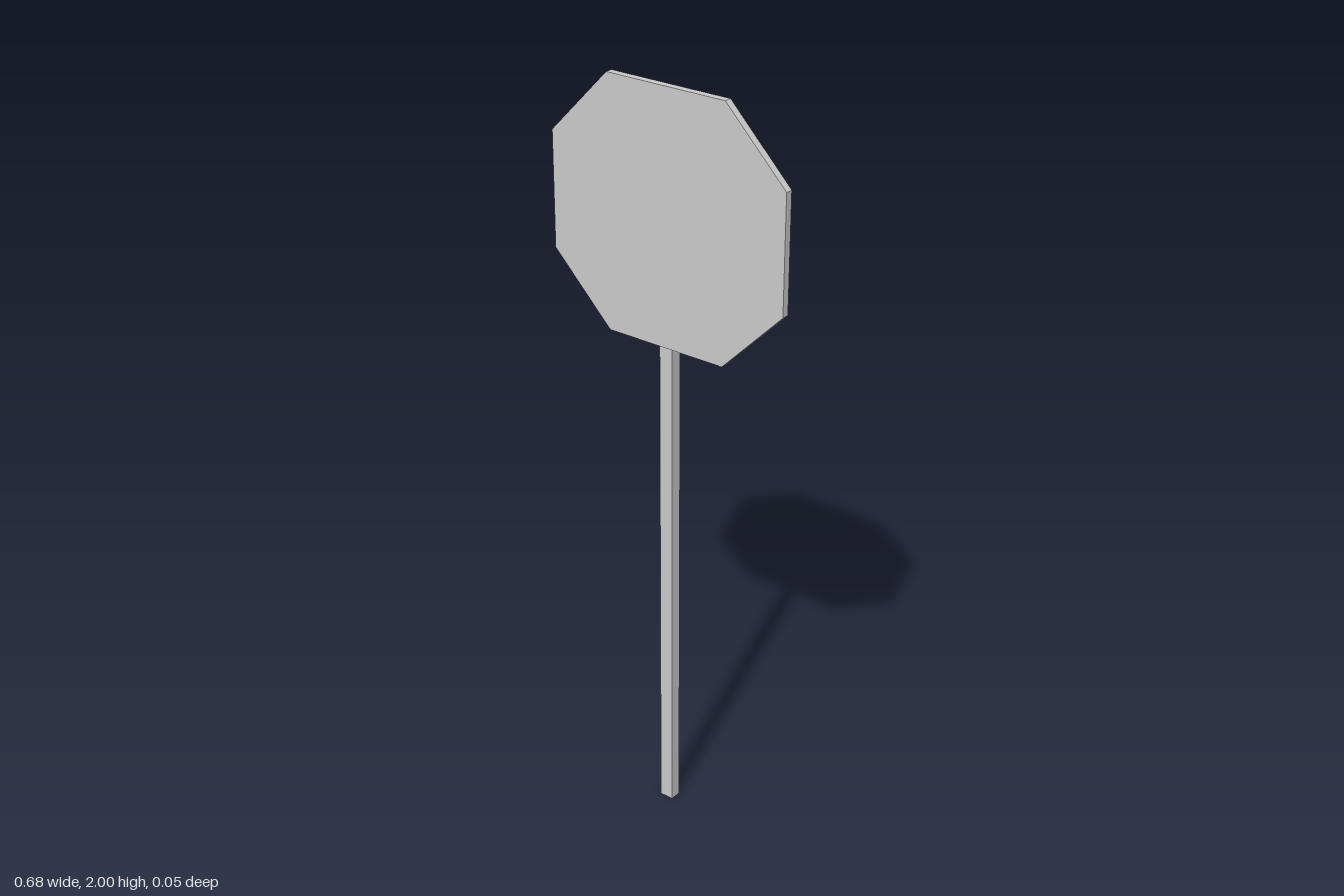
import * as THREE from 'three';

export function createModel() {
  const group = new THREE.Group();
  const material = new THREE.MeshStandardMaterial({ color: 0xcccccc, flatShading: true });

  // Octagonal sign plate: half extents and half lengths of the straight edges
  const halfW = 0.34, halfH = 0.3225, edgeX = 0.17, edgeY = 0.15, thickness = 0.0195;
  const outline = new THREE.Shape([
    [edgeX, -halfH], [halfW, -edgeY], [halfW, edgeY], [edgeX, halfH],
    [-edgeX, halfH], [-halfW, edgeY], [-halfW, -edgeY], [-edgeX, -halfH],
  ].map(([x, y]) => new THREE.Vector2(x, y)));
  const plate = new THREE.Mesh(
    new THREE.ExtrudeGeometry(outline, { depth: thickness, bevelEnabled: false }), material);
  plate.name = 'signPlate';
  plate.position.set(0, 2 - halfH, 0.003);
  group.add(plate);

  // Square post, slightly off centre and let into the back of the plate
  const postHeight = 1.955;
  const post = new THREE.Mesh(new THREE.BoxGeometry(0.038, postHeight, 0.031), material);
  post.name = 'post';
  post.position.set(-0.008, postHeight / 2, -0.007);
  group.add(post);

  return group;
}
